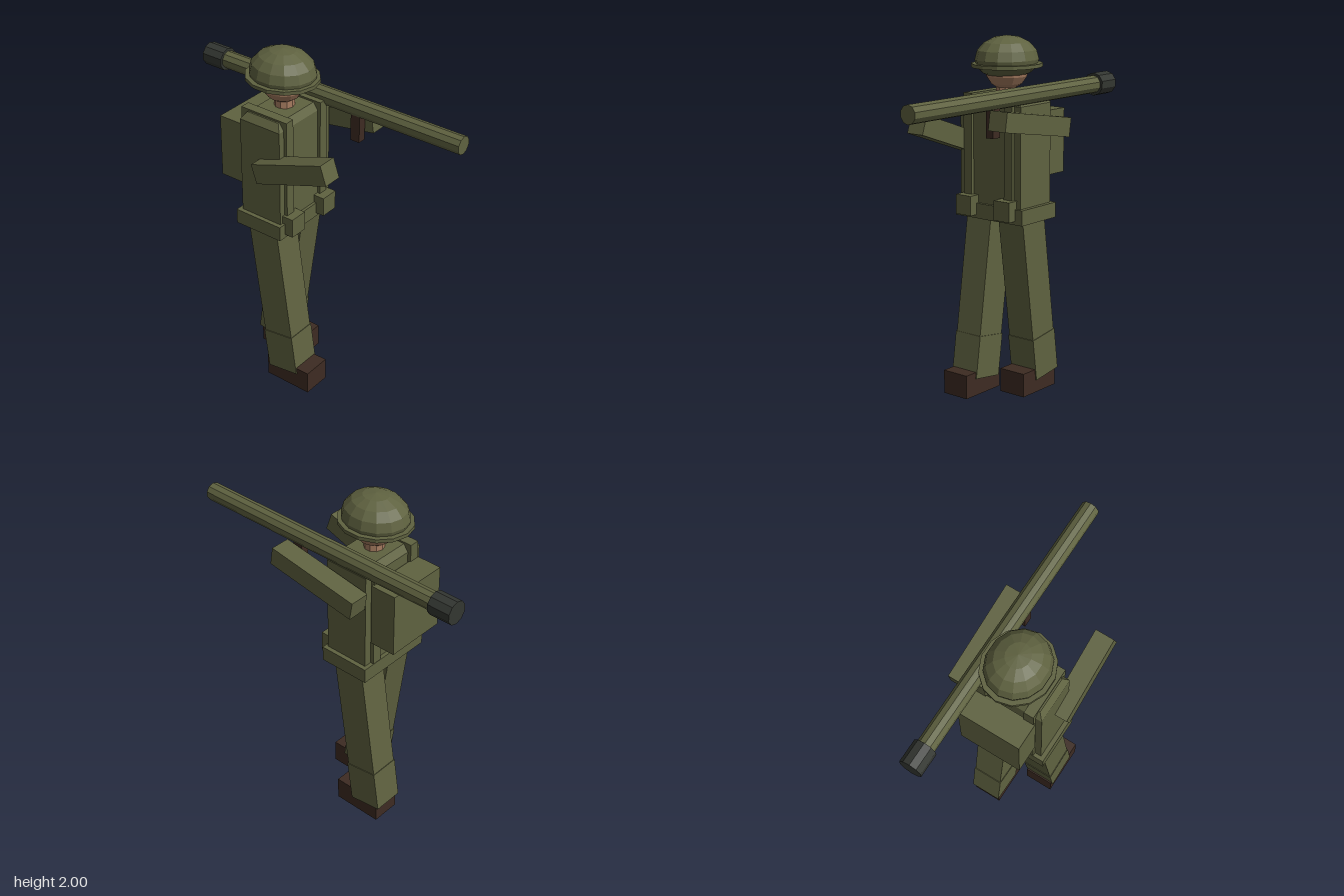
import * as THREE from 'three';

const material = (name, color) => {
  const m = new THREE.MeshStandardMaterial({ color, flatShading: true });
  m.name = name;
  return m;
};

export function createModel() {
  const green = material('olive green', 0x5f6240);
  const brown = material('dark brown', 0x3d2b22);
  const skin = material('skin', 0xa67c60);
  const dark = material('dark metal', 0x333631);

  const group = new THREE.Group();
  group.name = 'soldier';
  const CX = -0.03, CZ = -0.15; // centre line of the body

  const add = (name, geometry, mat, x, y, z) => {
    const mesh = new THREE.Mesh(geometry, mat);
    mesh.name = name;
    mesh.position.set(x, y, z);
    group.add(mesh);
    return mesh;
  };
  // Box given by its extents on each axis
  const box = (name, mat, [x0, x1], [y0, y1], [z0, z1]) =>
    add(name, new THREE.BoxGeometry(x1 - x0, y1 - y0, z1 - z0), mat,
      (x0 + x1) / 2, (y0 + y1) / 2, (z0 + z1) / 2);

  // Torso: box with chamfered edges, extruded upwards
  const w = 0.182, d = 0.103, c = 0.04;
  const outline = new THREE.Shape([
    new THREE.Vector2(-w, -d), new THREE.Vector2(w, -d),
    new THREE.Vector2(w, d), new THREE.Vector2(-w, d),
  ]);
  const torso = new THREE.ExtrudeGeometry(outline, {
    depth: 0.6, bevelEnabled: true, bevelThickness: c, bevelSize: c, bevelSegments: 1,
  });
  // Cut the mitred vertical corners back to chamfers
  const p = torso.attributes.position;
  for (let i = 0; i < p.count; i++) {
    const x = p.getX(i), y = p.getY(i);
    if (Math.abs(x) > w + 0.01 && Math.abs(y) > d + 0.01) {
      p.setXY(i, Math.sign(x) * (w + c * 0.7), Math.sign(y) * (d + c * 0.7));
    }
  }
  torso.rotateX(-Math.PI / 2);
  torso.computeVertexNormals();
  add('torso', torso, green, CX, 1.04, CZ + 0.003);

  // Belt, pouches, shoulder straps and backpack
  box('belt', green, [-0.265, 0.205], [1.0, 1.085], [-0.3, 0]);
  for (const x of [-0.1675, 0.1025]) {
    box('pouch', green, [x - 0.053, x + 0.053], [1.02, 1.13], [-0.02, 0.05]);
  }
  for (const x of [-0.175, 0.108]) {
    box('shoulderStrap', green, [x - 0.028, x + 0.028], [1.05, 1.69], [-0.298, 0.002]);
  }
  box('backpack', green, [-0.21, 0.15], [1.23, 1.59], [-0.443, -0.29]);

  // Legs in mid-stride with gaiters and boots
  for (const [x, angle, bootZ] of [[0.083, 0.141, -0.215], [-0.142, -0.141, 0.01]]) {
    const leg = new THREE.Group();
    leg.name = 'leg';
    leg.position.set(x, 1.0, CZ);
    leg.rotation.x = angle;
    const thigh = new THREE.Mesh(new THREE.BoxGeometry(0.17, 0.93, 0.19), green);
    thigh.name = 'trouserLeg';
    thigh.position.y = -0.445;
    const gaiter = new THREE.Mesh(new THREE.BoxGeometry(0.178, 0.242, 0.198), green);
    gaiter.name = 'gaiter';
    gaiter.position.y = -0.803;
    leg.add(thigh, gaiter);
    group.add(leg);
    box('boot', brown, [x - 0.083, x + 0.083], [0, 0.135], [bootZ - 0.145, bootZ + 0.145]);
  }

  // Arms raised forward
  const leftArm = add('leftArm', new THREE.BoxGeometry(0.114, 0.105, 0.557), green, 0.248, 1.558, -0.015);
  leftArm.rotation.x = -0.162;
  const rightArm = add('rightArm', new THREE.BoxGeometry(0.11, 0.111, 0.481), green, -0.255, 1.469, 0.094);
  rightArm.rotation.x = -0.335;

  // Neck and head
  add('neck', new THREE.CylinderGeometry(0.055, 0.055, 0.12, 10), skin, CX, 1.71, CZ);
  add('head', new THREE.SphereGeometry(0.122, 12, 8), skin, CX, 1.825, CZ - 0.005);

  // Helmet: faceted dome, longer from front to back, with a flat brim
  const profile = [[0, 1.785], [0.09, 1.78], [0.13, 1.8], [0.158, 1.83], [0.167, 1.87],
    [0.154, 1.92], [0.118, 1.962], [0.064, 1.99], [0, 2.0]];
  const dome = new THREE.LatheGeometry(profile.map(([r, y]) => new THREE.Vector2(r, y)), 14);
  add('helmet', dome, green, CX, 0, -0.158).scale.z = 1.12;
  add('helmetBrim', new THREE.CylinderGeometry(0.188, 0.188, 0.02, 14), green,
    CX, 1.839, -0.16).scale.z = 1.1;

  // Shoulder-carried launch tube with rear collar and grip
  const tube = (name, mat, r, z0, z1) => {
    const geometry = new THREE.CylinderGeometry(r, r, z1 - z0, 10).rotateX(Math.PI / 2);
    add(name, geometry, mat, 0.16, 1.695, (z0 + z1) / 2);
  };
  tube('launchTube', green, 0.05, -0.8, 0.835);
  tube('rearCollar', dark, 0.065, -0.835, -0.703);
  box('grip', brown, [0.135, 0.183], [1.5, 1.67], [0.16, 0.217]);

  return group;
}
